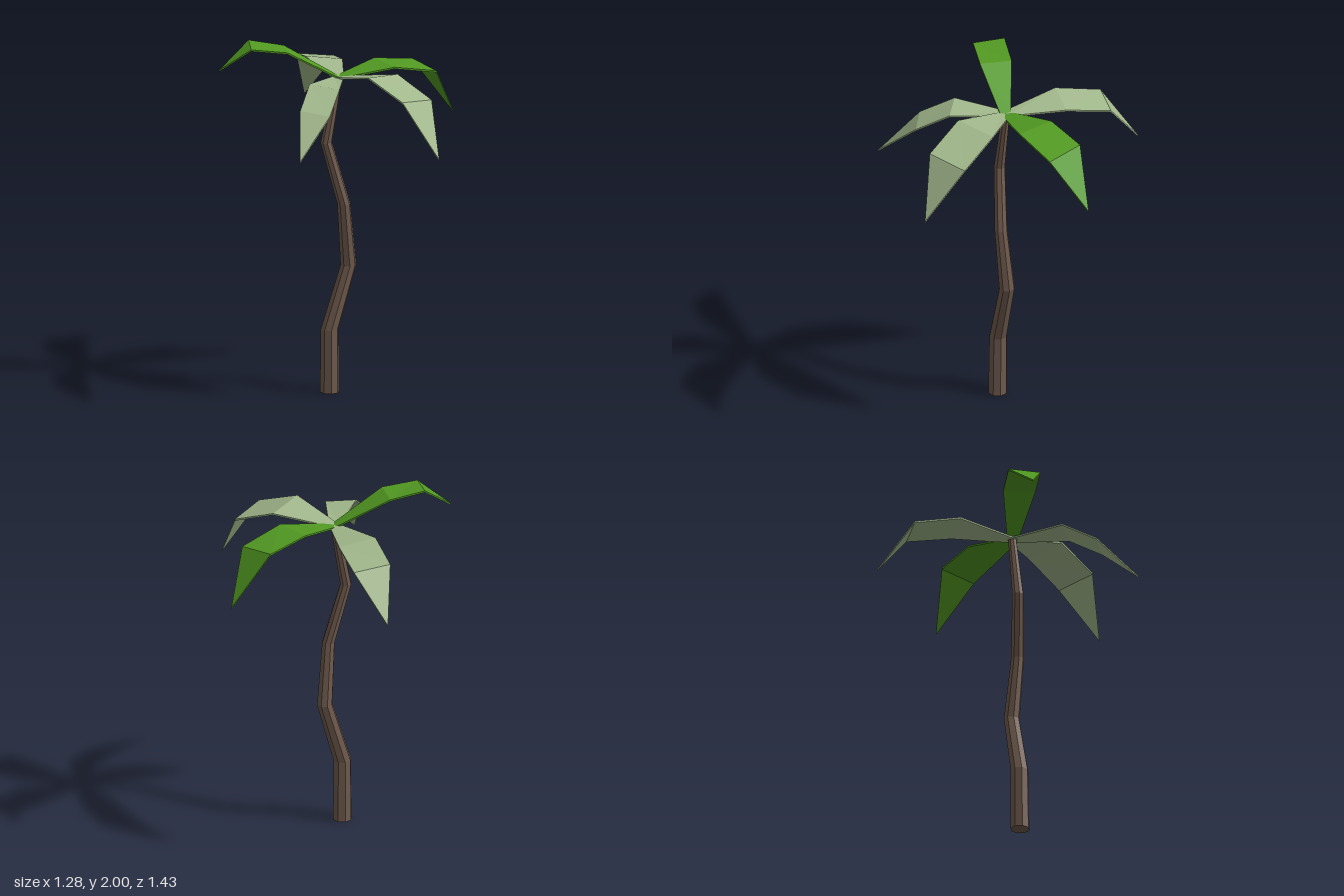
import * as THREE from 'three';

const V = (p) => new THREE.Vector3(...p);

// Flat-faced closed solid through a list of rings with equal corner counts
function loft(rings) {
  const pos = [];
  const tri = (a, b, c) => {
    const area = b.clone().sub(a).cross(c.clone().sub(a)).length();
    if (area > 1e-9) for (const p of [a, b, c]) pos.push(p.x, p.y, p.z);
  };
  const n = rings[0].length;
  for (let i = 0; i < rings.length - 1; i++) {
    for (let k = 0; k < n; k++) {
      const j = (k + 1) % n, lo = rings[i], hi = rings[i + 1];
      tri(lo[k], hi[k], hi[j]);
      tri(lo[k], hi[j], lo[j]);
    }
  }
  const first = rings[0], last = rings[rings.length - 1];
  for (let k = 1; k < n - 1; k++) {
    tri(first[0], first[k], first[k + 1]);
    tri(last[0], last[k + 1], last[k]);
  }
  const g = new THREE.BufferGeometry();
  g.setAttribute('position', new THREE.Float32BufferAttribute(pos, 3));
  g.computeVertexNormals();
  return g;
}

// Crooked trunk: x, y, z, radius at each joint
const JOINTS = [
  [-0.05, 0, 0.045, 0.054],
  [-0.05, 0.36, 0.042, 0.051],
  [0.045, 0.72, -0.015, 0.045],
  [0.026, 1.08, 0.02, 0.037],
  [-0.07, 1.43, 0.036, 0.033],
  [-0.01, 1.8, -0.004, 0.024],
];

function trunkGeometry(sides = 8) {
  return loft(JOINTS.map(([x, y, z, r]) => Array.from({ length: sides }, (_, k) => {
    const t = ((k + 0.5) / sides) * Math.PI * 2;
    return new THREE.Vector3(x + r * Math.cos(t), y, z + r * Math.sin(t));
  })));
}

// Thin bent frond: narrow root, two wide folds (edge a, edge b) and a pointed tip
function frondGeometry({ folds, tip }) {
  const root = new THREE.Vector3(-0.008, 1.803, -0.003);
  const side = V(folds[0][1]).sub(V(folds[0][0])).setY(0).setLength(0.03);
  const pairs = [
    [root.clone().sub(side), root.clone().add(side)],
    ...folds.map((f) => f.map(V)),
    [V(tip), V(tip)],
  ];
  const drop = new THREE.Vector3(0, -0.01, 0);
  return loft(pairs.map(([a, b]) => [a, a.clone().add(drop), b.clone().add(drop), b]));
}

const FRONDS = [
  { name: 'frontLeftFrond', color: 'pale', tip: [0.64, 1.46, 0.395], folds: [
    [[0.335, 1.845, 0.04], [0.21, 1.87, 0.245]],
    [[0.555, 1.745, 0.18], [0.43, 1.775, 0.385]]] },
  { name: 'frontFrond', color: 'pale', tip: [-0.085, 1.495, 0.715], folds: [
    [[0.057, 1.81, 0.305], [-0.115, 1.83, 0.29]],
    [[0.04, 1.705, 0.495], [-0.13, 1.725, 0.485]]] },
  { name: 'rightFrond', color: 'green', tip: [-0.645, 1.86, 0.2], folds: [
    [[-0.265, 1.968, 0.16], [-0.32, 1.965, -0.012]],
    [[-0.46, 1.99, 0.215], [-0.51, 2.0, 0.043]]] },
  { name: 'backRightFrond', color: 'pale', tip: [-0.342, 1.51, -0.715], folds: [
    [[-0.25, 1.843, -0.26], [-0.052, 1.815, -0.34]],
    [[-0.345, 1.79, -0.505], [-0.147, 1.768, -0.58]]] },
  { name: 'backLeftFrond', color: 'green', tip: [0.54, 1.51, -0.51], folds: [
    [[0.14, 1.85, -0.27], [0.29, 1.845, -0.105]],
    [[0.325, 1.81, -0.445], [0.49, 1.787, -0.29]]] },
];

export function createModel() {
  const material = (name, color) => {
    const m = new THREE.MeshStandardMaterial({ color, flatShading: true });
    m.name = name;
    return m;
  };
  const materials = {
    bark: material('bark brown', 0x705b4e),
    pale: material('pale leaf green', 0xa2b88c),
    green: material('bright leaf green', 0x529a22),
  };

  const palm = new THREE.Group();
  palm.name = 'palmTree';

  const trunk = new THREE.Mesh(trunkGeometry(), materials.bark);
  trunk.name = 'trunk';
  palm.add(trunk);

  const crown = new THREE.Group();
  crown.name = 'crown';
  for (const frond of FRONDS) {
    const mesh = new THREE.Mesh(frondGeometry(frond), materials[frond.color]);
    mesh.name = frond.name;
    crown.add(mesh);
  }
  palm.add(crown);
  return palm;
}
